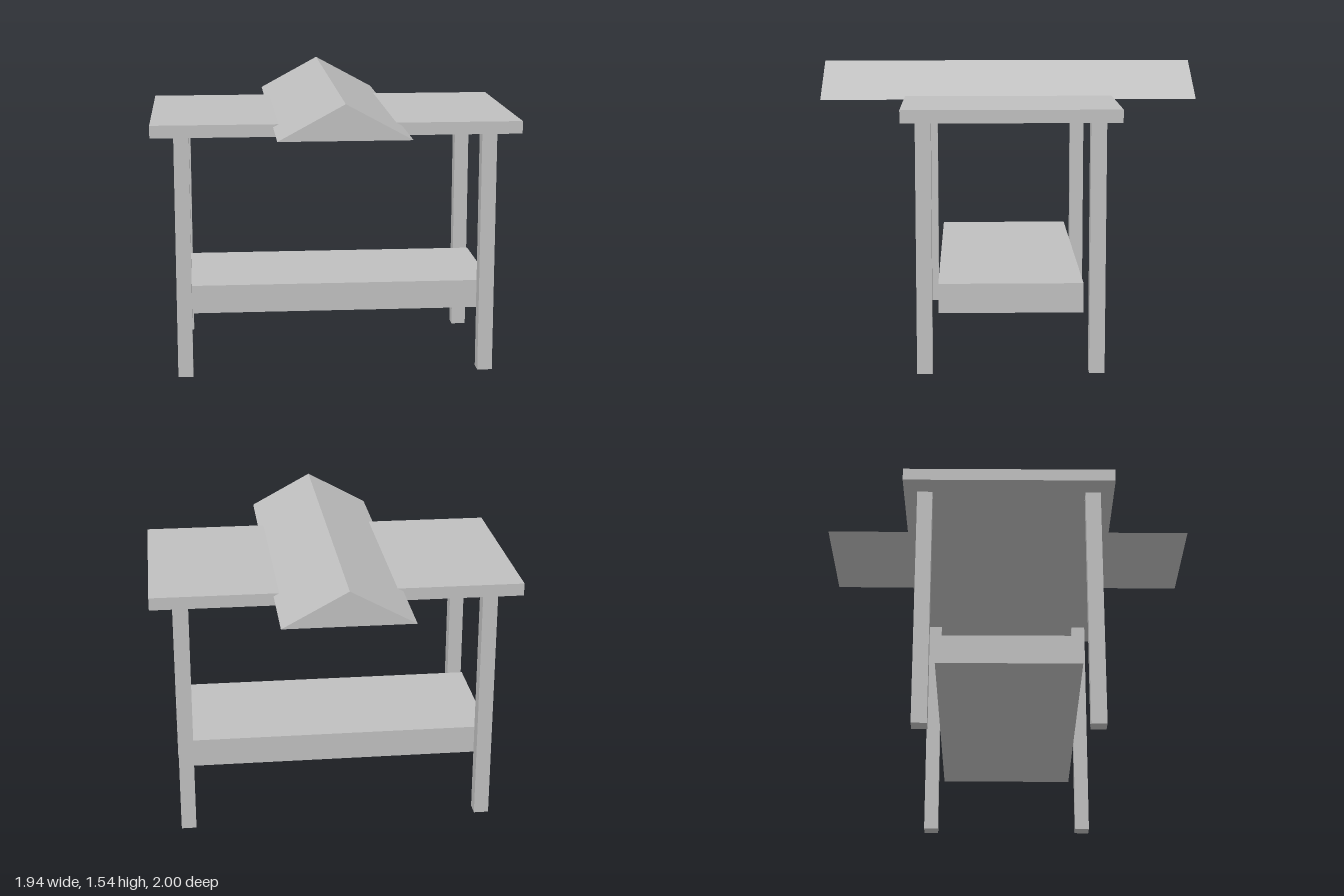
import * as THREE from 'three';

export function createModel() {
  const model = new THREE.Group();
  const gray = new THREE.MeshStandardMaterial({ color: 0xc0c0c0 });
  gray.name = 'plain gray';

  const add = (name, geometry, x, y, z) => {
    const mesh = new THREE.Mesh(geometry, gray);
    mesh.name = name;
    mesh.position.set(x, y, z);
    model.add(mesh);
  };

  // Four square legs
  const legHeight = 1.31;
  const leg = new THREE.BoxGeometry(0.08, legHeight, 0.08);
  for (const [side, sx] of [['Left', 1], ['Right', -1]]) {
    for (const [end, sz] of [['front', 1], ['back', -1]]) {
      add(`${end}${side}Leg`, leg, sx * 0.81, legHeight / 2, sz * 0.442);
    }
  }

  // Table top and the thick shelf between the legs
  add('tableTop', new THREE.BoxGeometry(1.94, 0.066, 1.104), 0, 1.343, 0);
  add('lowerShelf', new THREE.BoxGeometry(1.7, 0.153, 0.74), 0, 0.398, 0);

  // Long triangular ridge, sunk slightly into the top and overhanging both ends
  const profile = new THREE.Shape([
    new THREE.Vector2(-0.335, 0),
    new THREE.Vector2(0.335, 0),
    new THREE.Vector2(0, 0.182),
  ]);
  const ridge = new THREE.ExtrudeGeometry(profile, { depth: 2, bevelEnabled: false });
  add('ridge', ridge, 0, 1.36, -1);

  return model;
}
